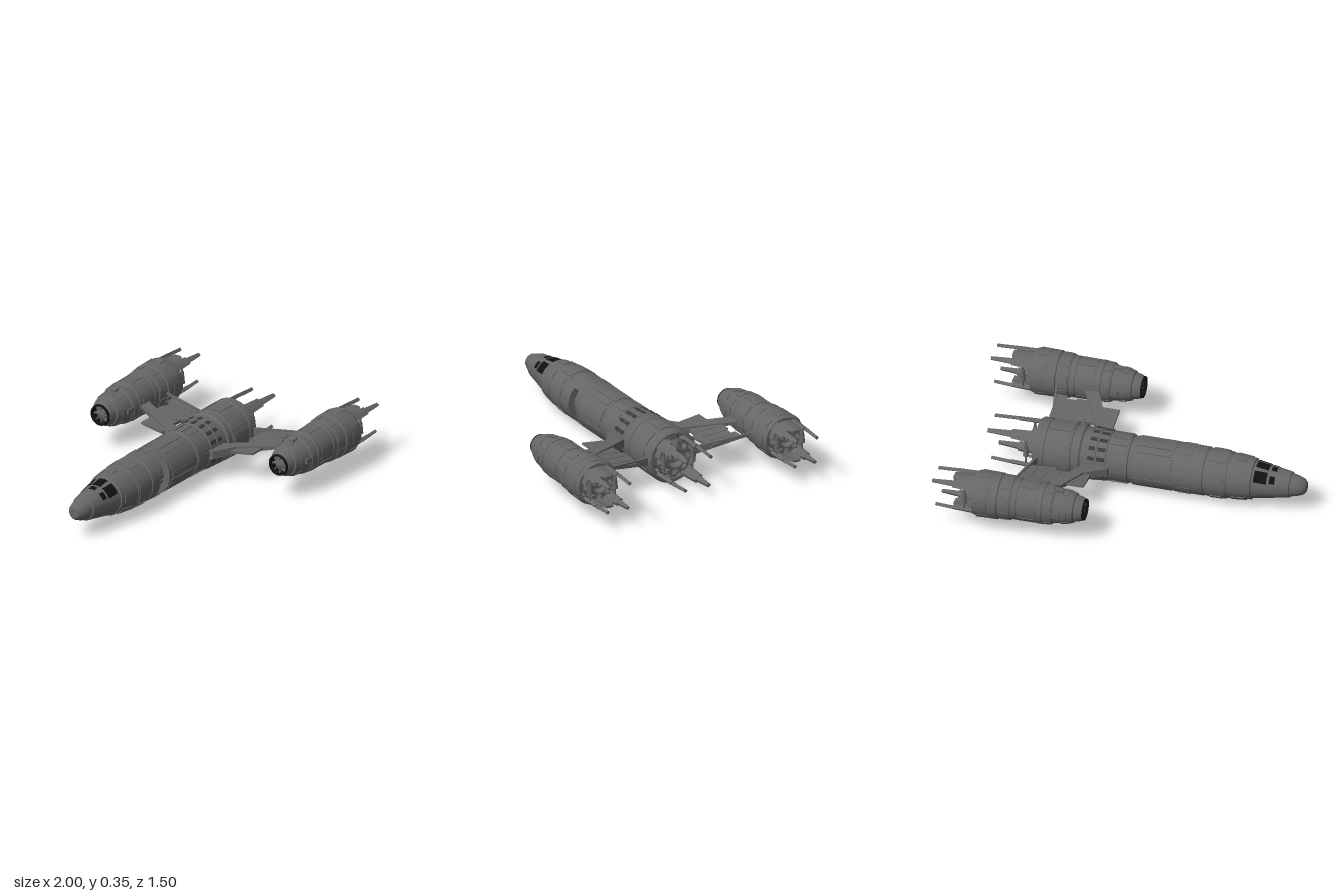
import * as THREE from 'three';
import { toCreasedNormals } from 'three/addons/utils/BufferGeometryUtils.js';

const hullGrey = new THREE.MeshStandardMaterial({ color: 0x666666, side: THREE.DoubleSide });
const recess = new THREE.MeshStandardMaterial({ color: 0x3a3a3a });
const dark = new THREE.MeshStandardMaterial({ color: 0x111111 });
const RAD = Math.PI / 180;
const ring = (n, offset = 0) => Array.from({ length: n }, (_, i) => i * 360 / n + offset);

function add(parent, name, geo, mat = hullGrey) {
  const m = new THREE.Mesh(geo, mat);
  m.name = name;
  parent.add(m);
  return m;
}

// Body of revolution along x; profile is [x, radius] pairs from nose to tail
function turned(profile, start = 0, sweep = Math.PI * 2) {
  const pts = profile.map(([x, r]) => new THREE.Vector2(r, x));
  return toCreasedNormals(new THREE.LatheGeometry(pts, 56, start, sweep).rotateZ(-Math.PI / 2), 0.5);
}

// Curved plate around the x axis: deg 0 is up, 90 is +z; w is arc width, t thickness
function plate(x0, x1, deg, w, r0, r1 = r0, t = 0.012, taper = 1) {
  const g = new THREE.BoxGeometry(1, 1, 1, 1, 1, Math.max(2, Math.ceil(w / 0.02)));
  const p = g.attributes.position;
  for (let i = 0; i < p.count; i++) {
    const k = p.getX(i) + 0.5;
    const r = THREE.MathUtils.lerp(r0, r1, k);
    const a = deg * RAD + p.getZ(i) * w * THREE.MathUtils.lerp(1, taper, k) / r;
    const rr = r - t * (0.5 - p.getY(i));
    p.setXYZ(i, x0 + (x1 - x0) * k, rr * Math.cos(a), rr * Math.sin(a));
  }
  g.computeVertexNormals();
  return g;
}

function radiusAt(profile, x) {
  for (let i = 1; i < profile.length; i++) {
    const [xa, ra] = profile[i - 1], [xb, rb] = profile[i];
    if (x >= xa && x <= xb && xb > xa) return ra + (rb - ra) * (x - xa) / (xb - xa);
  }
  return 0.1;
}

// Raised skin plates that follow a profile: [x0, x1, arc width, [angles]]
function skin(parent, name, profile, list, mat = hullGrey, lift = 0.005) {
  for (const [x0, x1, w, angles] of list)
    for (const a of angles)
      add(parent, name, plate(x0, x1, a, w, radiusAt(profile, x0) + lift, radiusAt(profile, x1) + lift), mat);
}

// Thruster detail: prongs, flaps, nozzle and the rings of blocks round it
function thruster(parent, x, r, len, flaps) {
  const g = new THREE.Group();
  g.name = 'thruster';
  parent.add(g);
  for (const a of [40, 140, 220, 320]) {
    const tip = x + len * (a > 90 && a < 270 ? 0.92 : 1);
    add(g, 'prongBase', plate(x - 0.04, x + len * 0.5, a, r * 0.52, r * 0.97, r * 0.93, 0.02, 0.75));
    add(g, 'prongTip', plate(x + len * 0.47, tip, a, r * 0.27, r * 0.93, r * 0.88, 0.018, 0.55));
  }
  for (const a of flaps) {
    add(g, 'flap', plate(x - 0.04, x + 0.1, a, 0.085, r * 0.85, r * 0.8, 0.012));
    add(g, 'flapTip', plate(x + 0.1, x + 0.13, a, 0.085, r * 0.8, r * 0.78, 0.012, 0.6));
  }
  for (const a of ring(8, 22.5)) {
    add(g, 'nozzleBlock', plate(x - 0.06, x + 0.012, a, r * 0.3, r * 0.74, r * 0.7, r * 0.2));
    add(g, 'rimBlock', plate(x - 0.06, x - 0.005, a + 22.5, r * 0.34, r * 0.86, r * 0.86, r * 0.12));
    add(g, 'nozzleRod', plate(x - 0.05, x + 0.045, a + 22.5, r * 0.1, r * 0.62, r * 0.58, 0.012));
  }
  // Side braces between prongs
  for (const s of [-1, 1]) {
    const bar = add(g, 'sideBrace', new THREE.CylinderGeometry(0.006, 0.006, r * 1.3, 8));
    bar.position.set(x + 0.05, 0, s * r * 0.65);
    const clamp = add(g, 'braceClamp', new THREE.CylinderGeometry(0.011, 0.018, 0.07, 8));
    clamp.position.set(x + 0.05, 0.01, s * r * 0.65);
  }
  add(g, 'thrusterWell', turned([[x - 0.045, r * 0.84], [x - 0.045, r * 0.4]]), recess);
  add(g, 'nozzle', turned([[x - 0.06, r * 0.46], [x + 0.01, r * 0.48], [x + 0.025, r * 0.43],
    [x + 0.025, r * 0.36], [x - 0.02, r * 0.3], [x - 0.02, r * 0.2], [x + 0.015, r * 0.17], [x + 0.015, r * 0.09], [x, 0]]));
}

function fuselage() {
  const g = new THREE.Group();
  g.name = 'fuselage';
  g.position.y = 0.163;
  const front = [[-1, 0], [-1, 0.03], [-0.985, 0.046], [-0.95, 0.059], [-0.915, 0.066], [-0.91, 0.074],
    [-0.85, 0.084], [-0.76, 0.1], [-0.7, 0.11], [-0.695, 0.118], [-0.6, 0.128], [-0.56, 0.13], [-0.555, 0.134],
    [-0.44, 0.138], [-0.435, 0.134], [-0.425, 0.134], [-0.42, 0.14], [-0.355, 0.14], [-0.355, 0]];
  const rear = [[-0.265, 0], [-0.265, 0.141], [-0.25, 0.141], [-0.245, 0.137], [0, 0.137], [0.005, 0.132], [0.015, 0.132],
    [0.02, 0.139], [0.14, 0.139], [0.145, 0.144], [0.2, 0.145], [0.205, 0.149], [0.25, 0.149], [0.255, 0.143],
    [0.29, 0.143], [0.295, 0.148], [0.3, 0.154], [0.325, 0.154], [0.33, 0.146], [0.345, 0.146], [0.35, 0.152], [0.5, 0.153],
    [0.505, 0.158], [0.55, 0.158], [0.565, 0.148], [0.565, 0.13], [0.51, 0.126], [0.51, 0]];
  add(g, 'forwardHull', turned(front));
  add(g, 'rearHull', turned(rear));

  // Hull band with an open service bay on the left side
  add(g, 'serviceBand', turned([[-0.356, 0.14], [-0.264, 0.141]], Math.PI / 4, Math.PI * 1.5));
  add(g, 'serviceBayCore', turned([[-0.356, 0.096], [-0.264, 0.096]]));
  for (const x of [-0.35, -0.305])
    for (let a = 50; a <= 130; a += 20)
      add(g, 'serviceBayBlock', plate(x, x + 0.035, a, 0.024, 0.104));
  for (let a = 150; a <= 390; a += 24)
    add(g, 'serviceBandBlock', plate(-0.345, -0.275, a, 0.03, 0.1435));

  // Cockpit glazing
  skin(g, 'cockpitWindow', front, [[-0.785, -0.712, 0.056, [0]], [-0.785, -0.712, 0.07, [-47, 47]],
    [-0.83, -0.8, 0.04, [0]], [-0.83, -0.8, 0.045, [-50, 50]]], dark, 0.002);

  skin(g, 'forwardPanel', front, [
    [-0.67, -0.585, 0.055, [45, 90, 135, 225, 270, 315]], [-0.65, -0.6, 0.04, [0, 180]],
    [-0.545, -0.45, 0.14, [0, 90, 180, 270]], [-0.53, -0.46, 0.04, [45, 135, 225, 315]]]);
  skin(g, 'midPanel', rear, [
    [-0.24, -0.01, 0.09, ring(6)], [-0.23, -0.02, 0.03, ring(6, 30)],
    [0.03, 0.13, 0.035, [0, 20, 40, 90, 140, 160, 180, 200, 220, 270, 320, 340]],
    [0.36, 0.49, 0.09, ring(8)]]);
  skin(g, 'collarSlot', rear, [[0.15, 0.195, 0.022, ring(16)], [0.21, 0.245, 0.022, ring(16)]], recess, 0.003);
  thruster(g, 0.565, 0.146, 0.28, []);
  return g;
}

function engine(side) {
  const g = new THREE.Group();
  g.name = side > 0 ? 'leftEngine' : 'rightEngine';
  g.position.set(0, 0.215, side * 0.615);
  const body = [[0.13, 0.064], [0.15, 0.072], [0.175, 0.076], [0.18, 0.085], [0.2, 0.092], [0.29, 0.102], [0.3, 0.11],
    [0.35, 0.114], [0.355, 0.119], [0.38, 0.119], [0.385, 0.114], [0.5, 0.115], [0.505, 0.119], [0.535, 0.119],
    [0.54, 0.124], [0.61, 0.126], [0.615, 0.133], [0.66, 0.134], [0.665, 0.13], [0.74, 0.132], [0.76, 0.124],
    [0.76, 0.11], [0.7, 0.106], [0.7, 0]];
  add(g, 'engineBody', turned(body));
  // Intake
  add(g, 'intakeLip', turned([[0.16, 0.046], [0.12, 0.054], [0.12, 0.062], [0.131, 0.064]]), dark);
  add(g, 'intakeFace', turned([[0.13, 0], [0.14, 0.026], [0.155, 0.03], [0.16, 0.05]]));
  for (const a of ring(8))
    add(g, 'intakeVane', plate(0.135, 0.165, a, 0.008, 0.05, 0.05, 0.03));

  skin(g, 'enginePanel', body, [
    [0.21, 0.25, 0.03, ring(4, 45)], [0.215, 0.245, 0.05, ring(4)],
    [0.305, 0.345, 0.1, ring(4)], [0.305, 0.345, 0.04, ring(4, 45)], [0.39, 0.495, 0.07, ring(8)],
    [0.545, 0.6, 0.05, ring(8, 22.5)], [0.67, 0.735, 0.06, ring(8)]], hullGrey, 0.004);
  for (const a of ring(4))
    add(g, 'scoop', plate(0.25, 0.295, a, 0.03, 0.11, 0.114, 0.02));
  thruster(g, 0.76, 0.126, 0.24, [0, 180]);
  return g;
}

// Wing slab from a plan outline of [x, z]; lo..hi is the share of the wing thickness used
function slab(outline, side, lo, hi) {
  const shape = new THREE.Shape(outline.map(([x, z]) => new THREE.Vector2(x, -side * z)));
  const g = new THREE.ExtrudeGeometry(shape, { depth: 1, bevelEnabled: false }).rotateX(-Math.PI / 2);
  const p = g.attributes.position;
  for (let i = 0; i < p.count; i++) {
    const k = (Math.abs(p.getZ(i)) - 0.15) / 0.34;
    const bottom = 0.135 + 0.07 * k, top = 0.187 + 0.033 * k;
    p.setY(i, bottom + (top - bottom) * (lo + (hi - lo) * p.getY(i)));
  }
  g.computeVertexNormals();
  return g;
}

function wing(side) {
  const g = new THREE.Group();
  g.name = side > 0 ? 'leftWing' : 'rightWing';
  add(g, 'wingSpar', slab([[0.12, 0.13], [0.25, 0.13], [0.445, 0.51], [0.36, 0.51], [0.24, 0.25], [0.12, 0.17]], side, 0, 1));
  add(g, 'wingFrontPlate', slab([[0.2, 0.235], [0.31, 0.235], [0.38, 0.385], [0.2, 0.385]], side, 0.3, 0.7));
  add(g, 'wingRearPlate', slab([[0.28, 0.25], [0.4, 0.245], [0.4, 0.22], [0.53, 0.235], [0.575, 0.25], [0.58, 0.43],
    [0.52, 0.43], [0.52, 0.405], [0.46, 0.405], [0.46, 0.42], [0.38, 0.42]], side, 0.3, 0.7));
  for (const x of [0.36, 0.43, 0.5])
    add(g, 'wingRib', slab([[x, 0.26], [x + 0.025, 0.26], [x + 0.045, 0.39], [x + 0.02, 0.39]], side, 0.25, 0.78));
  add(g, 'wingRearStrut', slab([[0.525, 0.13], [0.54, 0.13], [0.61, 0.5], [0.598, 0.5]], side, 0.05, 0.95));
  return g;
}

export function createModel() {
  const model = new THREE.Group();
  model.name = 'spaceship';
  model.add(fuselage());
  for (const side of [1, -1]) model.add(engine(side), wing(side));
  return model;
}
